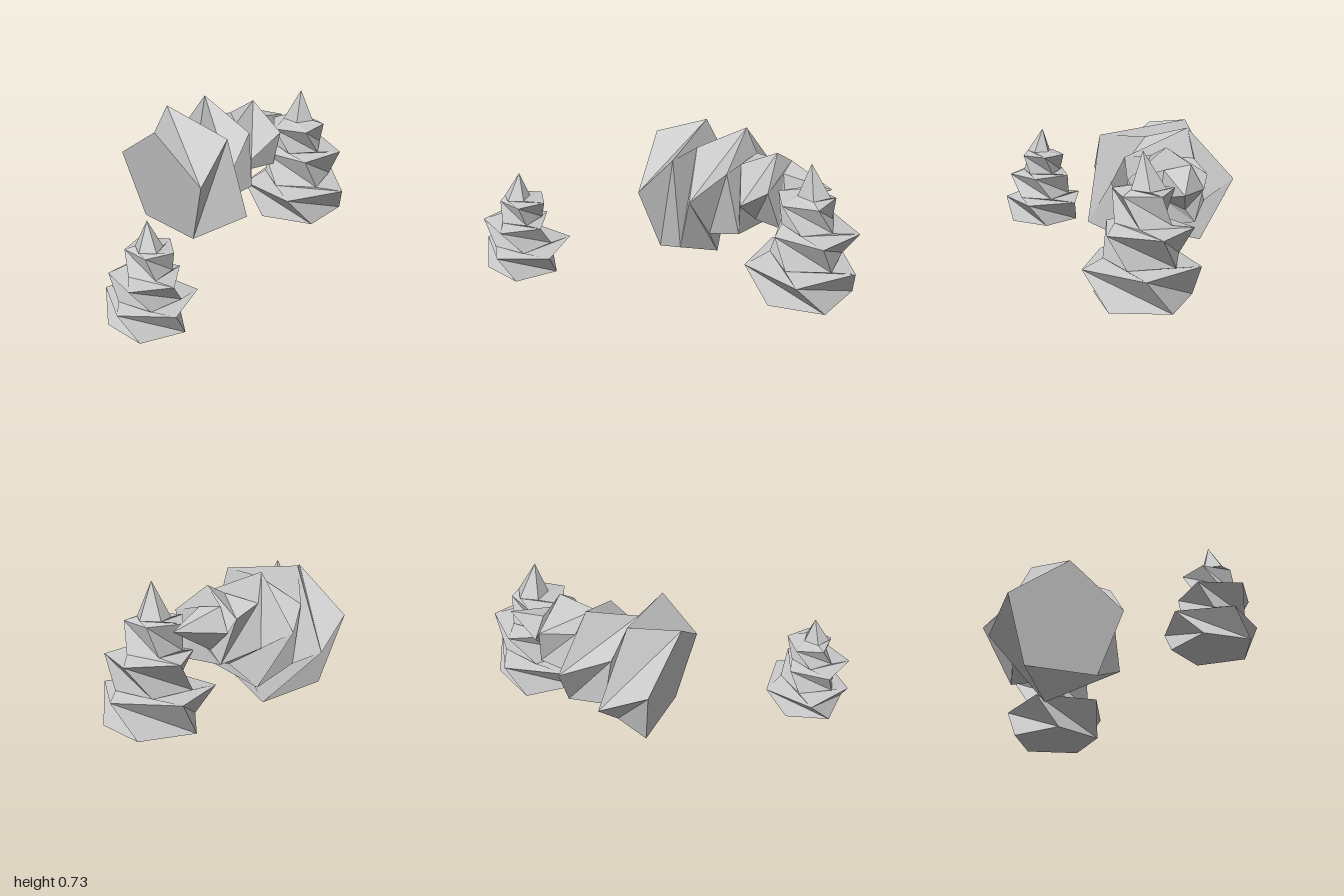
import * as THREE from 'three';

const SIDES = 5;
const TWIST = -0.5; // turn of each ring against the one below

// Rings from the base up: height, radius, centre offset x, centre offset z
const RINGS = [
  [0, 0.347, 0, 0],
  [0.243, 0.41, -0.035, 0.005],
  [0.272, 0.272, 0, -0.01],
  [0.5, 0.315, 0.047, -0.01],
  [0.53, 0.197, 0.01, -0.01],
  [0.73, 0.216, -0.033, -0.012],
  [0.757, 0.121, 0.027, -0.028],
];

// Twisted, tiered spire of unit height
function spireGeometry() {
  const rings = RINGS.map(([y, r, ox, oz], i) =>
    Array.from({ length: SIDES }, (_, j) => {
      const a = Math.PI / 10 + i * TWIST + (j * Math.PI * 2) / SIDES;
      return new THREE.Vector3(ox + r * Math.cos(a), y, oz - r * Math.sin(a));
    }));
  const tip = new THREE.Vector3(0, 1, 0);
  const points = [];
  const last = rings[rings.length - 1];
  for (let j = 0; j < SIDES; j++) {
    const k = (j + 1) % SIDES;
    // walls and ledges
    for (let i = 0; i < rings.length - 1; i++) {
      const a = rings[i], b = rings[i + 1];
      points.push(a[j], a[k], b[j], a[k], b[k], b[j]);
    }
    // pointed top
    points.push(last[j], last[k], tip);
    // flat base
    if (j > 0 && j < SIDES - 1) points.push(rings[0][0], rings[0][k], rings[0][j]);
  }
  const g = new THREE.BufferGeometry().setFromPoints(points);
  g.computeVertexNormals();
  return g;
}

export function createModel() {
  const model = new THREE.Group();
  model.name = 'spireCluster';
  const stone = new THREE.MeshStandardMaterial({ color: 0xcccccc, flatShading: true });
  stone.name = 'lightGrey';
  const geometry = spireGeometry();

  const addSpire = (name, width, height, x, y, z) => {
    const mesh = new THREE.Mesh(geometry, stone);
    mesh.name = name;
    mesh.scale.set(width, height, width);
    mesh.position.set(x, y, z);
    model.add(mesh);
    return mesh;
  };

  // Two upright spires
  addSpire('smallSpire', 0.57, 0.54, -0.78, 0, 0.29).rotation.y = THREE.MathUtils.degToRad(191);
  addSpire('mediumSpire', 0.72, 0.72, 0.725, 0, 0.11);

  // Large spire lying on its side, pointing to the left
  const large = addSpire('largeFallenSpire', 0.95, 0.953, -0.124, 0.345, -0.19);
  const axis = new THREE.Vector3(0.924, 0.165, 0.12).normalize();
  const side = new THREE.Vector3(0, 0, -1).cross(axis).normalize();
  const across = new THREE.Vector3().crossVectors(axis, side);
  large.quaternion.setFromRotationMatrix(new THREE.Matrix4().makeBasis(across, axis, side));

  return model;
}
